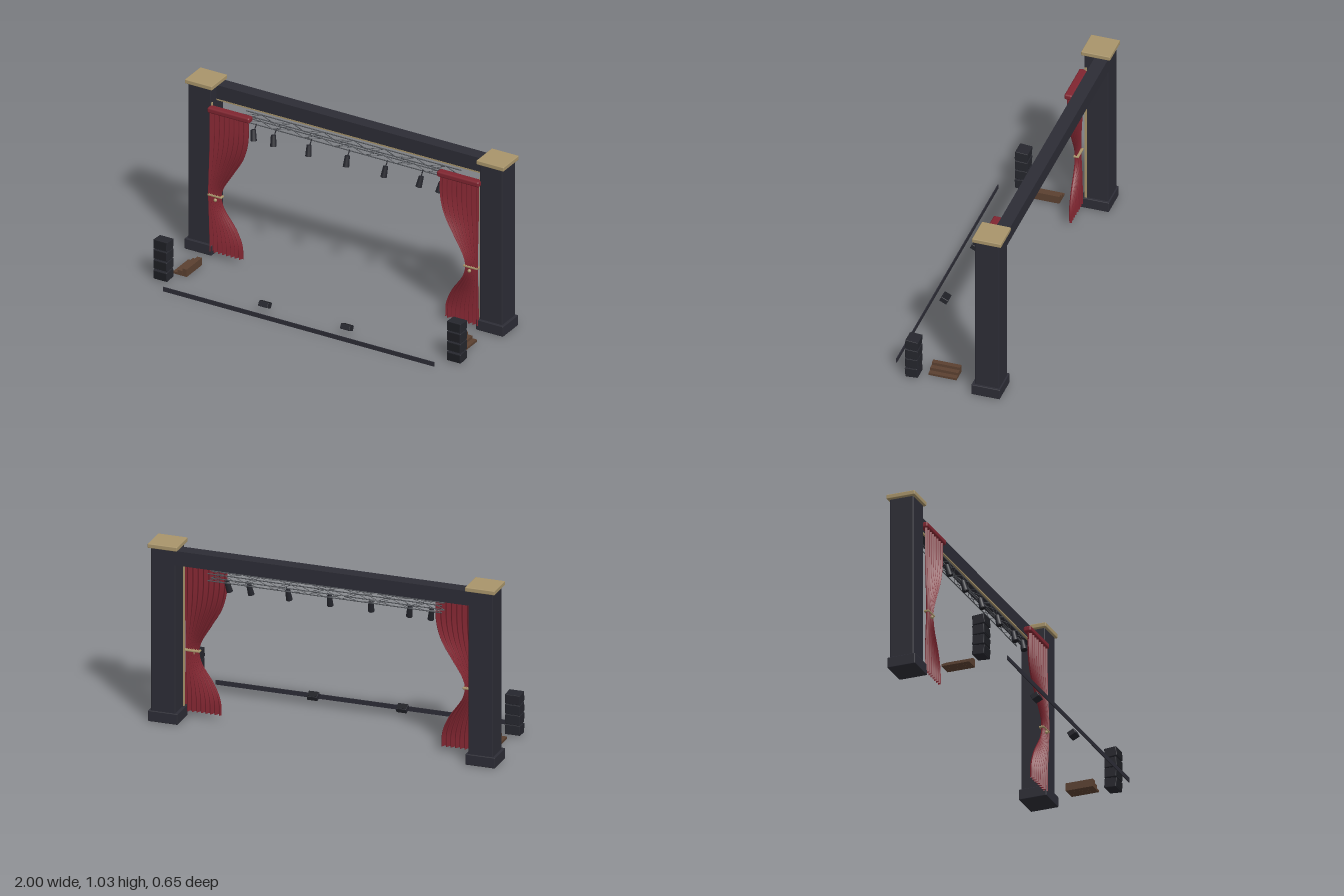
import * as THREE from 'three';
import { RoundedBoxGeometry } from 'three/addons/geometries/RoundedBoxGeometry.js';

const mat = (name, color, extra = {}) => {
  const m = new THREE.MeshStandardMaterial({ color, ...extra });
  m.name = name;
  return m;
};

export function createModel() {
  const root = new THREE.Group();
  root.name = 'stage';
  const charcoal = mat('charcoal', 0x2c2c35);
  const black = mat('black casing', 0x25262d);
  const grilleMat = mat('grille', 0x1d1e23);
  const gold = mat('aged gold', 0xa8946a);
  const red = mat('red velvet', 0x7f2530, { side: THREE.DoubleSide });
  const steel = mat('steel', 0x505358);
  const wood = mat('brown wood', 0x5a4030);

  const add = (name, geo, material, x = 0, y = 0, z = 0, parent = root) => {
    const m = new THREE.Mesh(geo, material);
    m.name = name;
    m.position.set(x, y, z);
    parent.add(m);
    return m;
  };
  // Box given by its limits on each axis
  const span = (name, material, x0, x1, y0, y1, z0, z1, r = 0, parent = root) => {
    const s = [Math.abs(x1 - x0), y1 - y0, z1 - z0];
    const g = r ? new RoundedBoxGeometry(...s, 2, r) : new THREE.BoxGeometry(...s);
    return add(name, g, material, (x0 + x1) / 2, (y0 + y1) / 2, (z0 + z1) / 2, parent);
  };
  // Thin round bar between two points
  const bar = (name, a, b, r, material, parent = root) => {
    const d = b.clone().sub(a);
    const m = add(name, new THREE.CylinderGeometry(r, r, d.length(), 6), material, 0, 0, 0, parent);
    m.position.copy(a).add(b).multiplyScalar(0.5);
    m.quaternion.setFromUnitVectors(new THREE.Vector3(0, 1, 0), d.normalize());
  };
  const v = (x, y, z) => new THREE.Vector3(x, y, z);

  // Curtain inner edge: x for each height
  const edge = new THREE.CatmullRomCurve3([
    [0.6, 0.89], [0.602, 0.75], [0.63, 0.645], [0.69, 0.54], [0.753, 0.433], [0.765, 0.38],
    [0.75, 0.315], [0.674, 0.2], [0.638, 0.11], [0.634, 0.03],
  ].map(([x, y]) => v(x, y, 0)));

  function curtainGeometry(s) {
    const geo = new THREE.PlaneGeometry(1, 1, 96, 40);
    const p = geo.attributes.position;
    for (let i = 0; i < p.count; i++) {
      const u = p.getX(i) + 0.5;
      const e = edge.getPoint(0.5 - p.getY(i));
      const gather = Math.exp(-(((e.y - 0.4) / 0.18) ** 2));
      const amp = 0.011 - 0.003 * gather;
      const z = -0.162 + 0.011 * gather + amp * Math.sin(u * Math.PI * 2 * 8);
      p.setXYZ(i, s * (0.845 + (e.x - 0.845) * u), e.y, z);
    }
    // Keep the front winding on the side whose width runs right to left
    if (s > 0) {
      const ix = geo.index;
      for (let i = 0; i < ix.count; i += 3) {
        const a = ix.getX(i);
        ix.setX(i, ix.getX(i + 1));
        ix.setX(i + 1, a);
      }
    }
    geo.computeVertexNormals();
    return geo;
  }

  for (const s of [1, -1]) {
    const side = new THREE.Group();
    side.name = s > 0 ? 'leftSide' : 'rightSide';
    root.add(side);

    // Pillar with base, cap and gold edge trim
    span('pillar', charcoal, s * 0.845, s * 0.985, 0.03, 1.01, -0.31, -0.172, 0.005, side);
    span('pillarBase', charcoal, s * 0.83, s * 1, 0.003, 0.065, -0.318, -0.156, 0.004, side);
    span('pillarCap', gold, s * 0.83, s * 1, 1.01, 1.035, -0.325, -0.16, 0.004, side);
    span('pillarTrim', gold, s * 0.839, s * 0.846, 0.065, 0.925, -0.19, -0.177, 0, side);

    // Curtain, header and tieback
    add('curtain', curtainGeometry(s), red, 0, 0, 0, side);
    span('curtainHeader', red, s * 0.588, s * 0.852, 0.877, 0.91, -0.19, -0.145, 0.01, side);
    span('tieback', gold, s * 0.758, s * 0.847, 0.376, 0.386, -0.17, -0.14, 0.003, side);
    add('tiebackTassel', new THREE.SphereGeometry(0.01, 12, 8), gold, s * 0.797, 0.36, -0.142, side);

    // Stacked speakers, fanned from bottom to top
    [0.036, 0.097, 0.157, 0.217].forEach((y, i) => {
      const cab = new THREE.Group();
      cab.name = 'speaker' + (i + 1);
      cab.position.set(s * 0.921, y, 0.198);
      cab.rotation.x = 0.08 - i * 0.053;
      side.add(cab);
      add('speakerCabinet', new RoundedBoxGeometry(0.086, 0.055, 0.07, 2, 0.003), black, 0, 0, 0, cab);
      add('speakerGrille', new THREE.BoxGeometry(0.076, 0.046, 0.003), grilleMat, 0, 0, 0.0355, cab);
    });

    // Wooden steps rising towards the stage middle
    for (let i = 0; i < 3; i++) {
      const x = 0.906 - i * 0.0285;
      span('step' + (i + 1), wood, s * x, s * (x - 0.028), 0.003, 0.016 * (i + 1), -0.04, 0.12, 0, side);
    }

    // Floor monitor
    const wedge = new THREE.Group();
    wedge.name = 'floorMonitor';
    wedge.position.set(s * 0.257, 0.045, 0.243);
    wedge.rotation.x = -0.45;
    side.add(wedge);
    add('monitorCabinet', new RoundedBoxGeometry(0.06, 0.03, 0.044, 2, 0.003), black, 0, 0, 0, wedge);
    add('monitorGrille', new THREE.BoxGeometry(0.052, 0.003, 0.036), grilleMat, 0, 0.0155, 0, wedge);
  }

  // Top beam, its trim and the stage front edge
  span('beam', charcoal, -0.85, 0.85, 0.925, 1.008, -0.31, -0.235);
  span('beamTrim', gold, -0.845, 0.845, 0.917, 0.925, -0.245, -0.234);
  span('stageEdge', charcoal, -0.85, 0.85, 0.001, 0.027, 0.318, 0.323);

  // Box truss with zigzag braces on all four faces
  const truss = new THREE.Group();
  truss.name = 'lightingTruss';
  root.add(truss);
  const yT = 0.884, yB = 0.843, zF = -0.22, zR = -0.264, L = 0.675, n = 14;
  for (const y of [yT, yB]) for (const z of [zF, zR]) bar('chord', v(-L, y, z), v(L, y, z), 0.003, steel, truss);
  for (let i = 0; i < n; i++) {
    const a = -L + (2 * L * i) / n, b = a + (2 * L) / n, up = i % 2 === 0;
    for (const z of [zF, zR]) bar('brace', v(a, up ? yB : yT, z), v(b, up ? yT : yB, z), 0.0018, steel, truss);
    for (const y of [yT, yB]) bar('brace', v(a, y, up ? zF : zR), v(b, y, up ? zR : zF), 0.0018, steel, truss);
  }

  // Hanging spotlights
  [-0.585, -0.46, -0.238, 0, 0.238, 0.46, 0.585].forEach((x) => {
    const lamp = new THREE.Group();
    lamp.name = 'spotlight';
    lamp.position.set(x, 0.793, -0.188);
    root.add(lamp);
    bar('spotlightHanger', v(0, 0.02, -0.006), v(0, 0.055, -0.032), 0.003, black, lamp);
    const head = new THREE.Group();
    head.name = 'spotlightHead';
    head.rotation.set(-0.25, 0, -x * 0.3);
    lamp.add(head);
    add('spotlightBody', new THREE.CylinderGeometry(0.014, 0.018, 0.062, 14), black, 0, 0, 0, head);
    add('spotlightLens', new THREE.CylinderGeometry(0.014, 0.014, 0.002, 14), grilleMat, 0, -0.0315, 0, head);
  });

  return root;
}
